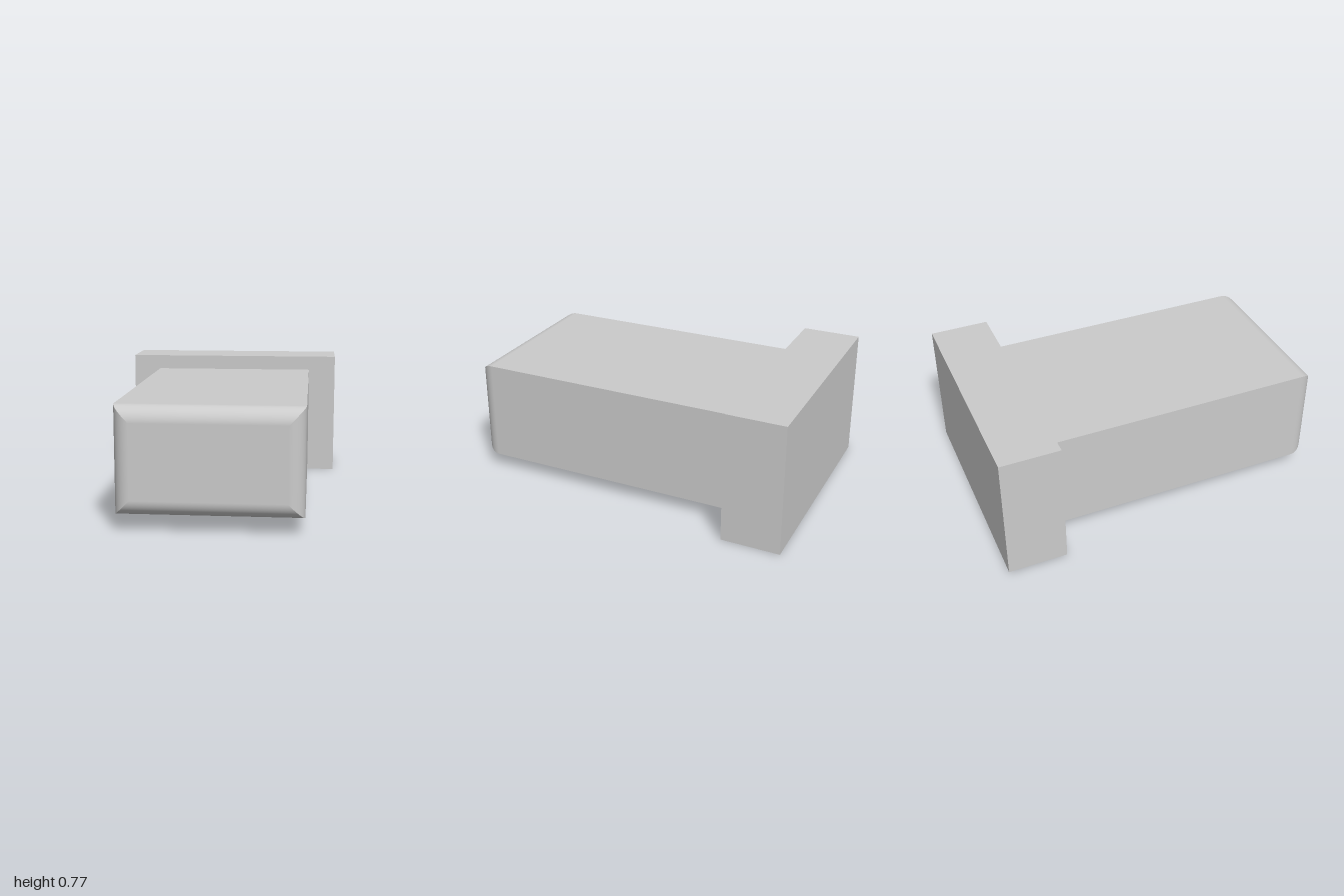
import * as THREE from 'three';

const BACK = -1, PLATE_FRONT = -0.655, FRONT = 1;
const CENTER_Y = 0.385, RADIUS = 0.09, STEPS = 12;

// Rectangular bar along z, its front edges rounded and mitred at the corners
function roundedEndBar(halfW, halfH, z0, z1, r) {
  const pos = [], nor = [], idx = [];
  const corners = [[-1, -1], [1, -1], [1, 1], [-1, 1]];
  const sideNormals = [[0, -1], [1, 0], [0, 1], [-1, 0]];

  // Profile from the back to the front: inset, z and slope angle
  const profile = [[0, z0, 0]];
  for (let i = 0; i <= STEPS; i++) {
    const a = (i / STEPS) * Math.PI / 2;
    profile.push([r * (1 - Math.cos(a)), z1 - r + r * Math.sin(a), a]);
  }
  const addCorner = ([sx, sy], inset, z, normal) => {
    pos.push(sx * (halfW - inset), sy * (halfH - inset), z);
    nor.push(...normal);
  };

  // Four sides, each running over its rounded front edge
  sideNormals.forEach(([nx, ny], s) => {
    const base = pos.length / 3;
    profile.forEach(([inset, z, a], i) => {
      const n = [nx * Math.cos(a), ny * Math.cos(a), Math.sin(a)];
      addCorner(corners[s], inset, z, n);
      addCorner(corners[(s + 1) % 4], inset, z, n);
      if (i > 0) {
        const b = base + 2 * (i - 1);
        idx.push(b, b + 1, b + 3, b, b + 3, b + 2);
      }
    });
  });

  // Flat front and back ends
  const f = pos.length / 3;
  corners.forEach((c) => addCorner(c, r, z1, [0, 0, 1]));
  corners.forEach((c) => addCorner(c, 0, z0, [0, 0, -1]));
  idx.push(f, f + 1, f + 2, f, f + 2, f + 3);
  idx.push(f + 4, f + 6, f + 5, f + 4, f + 7, f + 6);

  const geo = new THREE.BufferGeometry();
  geo.setAttribute('position', new THREE.Float32BufferAttribute(pos, 3));
  geo.setAttribute('normal', new THREE.Float32BufferAttribute(nor, 3));
  geo.setIndex(idx);
  return geo;
}

export function createModel() {
  const group = new THREE.Group();
  const material = new THREE.MeshStandardMaterial({ color: 0xcccccc });

  // Wide flange at the back
  const depth = PLATE_FRONT - BACK;
  const plate = new THREE.Mesh(new THREE.BoxGeometry(1.355, 2 * CENTER_Y, depth), material);
  plate.name = 'backPlate';
  plate.position.set(0, CENTER_Y, BACK + depth / 2);

  // Long block reaching forward from the flange
  const block = new THREE.Mesh(roundedEndBar(0.505, 0.296, PLATE_FRONT, FRONT, RADIUS), material);
  block.name = 'roundedBlock';
  block.position.y = CENTER_Y;

  group.add(plate, block);
  return group;
}
